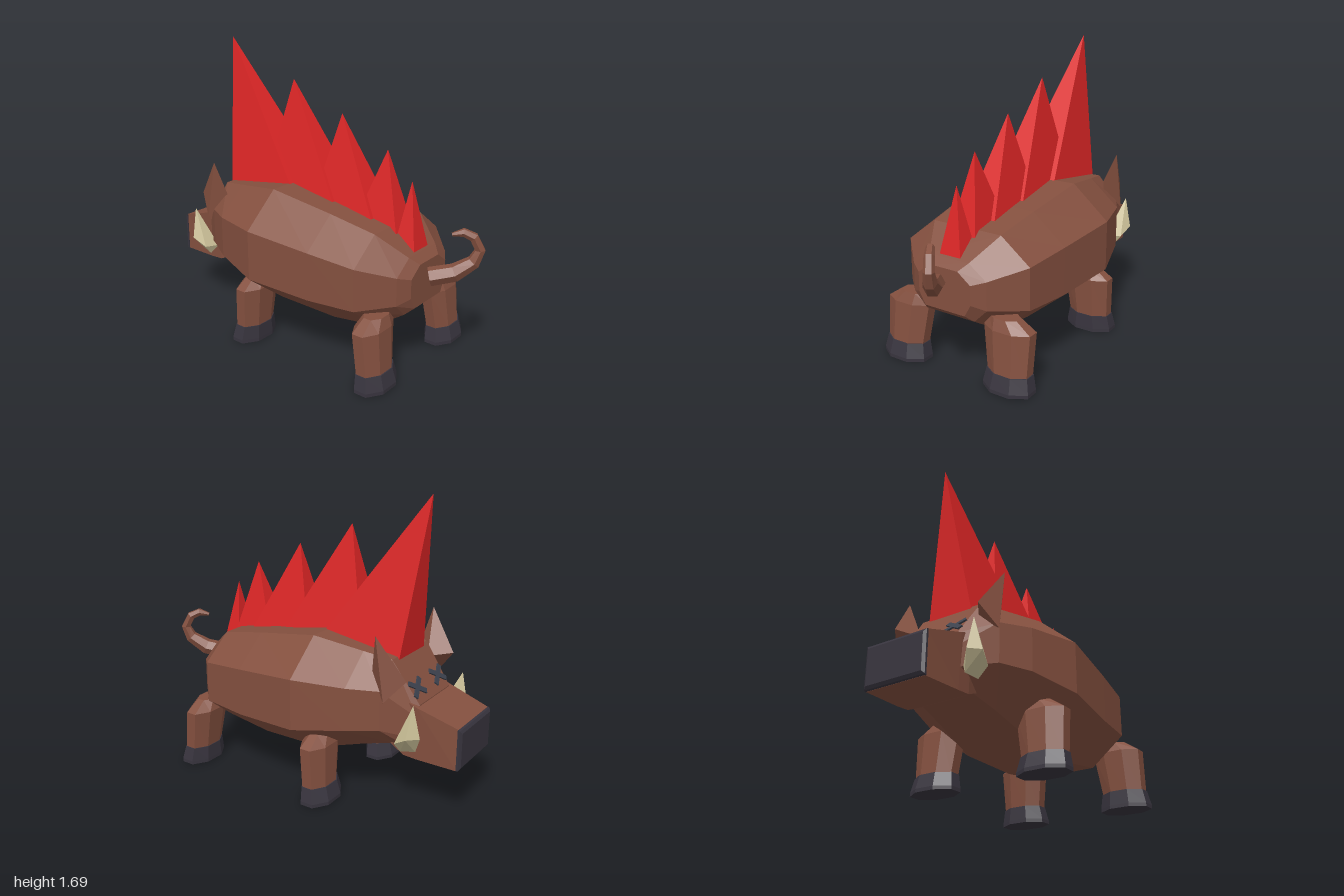
import * as THREE from 'three';
import { ConvexGeometry } from 'three/addons/geometries/ConvexGeometry.js';

const V = (x, y, z) => new THREE.Vector3(x, y, z);
const colour = (name, color) => {
  const m = new THREE.MeshStandardMaterial({ color });
  m.name = name;
  return m;
};

// Faceted closed skin through rings with equal point counts
function loft(rings) {
  const tris = [], n = rings[0].length;
  for (let r = 0; r < rings.length - 1; r++) {
    for (let i = 0; i < n; i++) {
      const j = (i + 1) % n;
      const [a, b, c, d] = [rings[r][i], rings[r][j], rings[r + 1][j], rings[r + 1][i]];
      tris.push([a, b, c], [a, c, d]);
    }
  }
  const last = rings[rings.length - 1];
  for (let i = 1; i < n - 1; i++) {
    tris.push([rings[0][0], rings[0][i + 1], rings[0][i]], [last[0], last[i], last[i + 1]]);
  }
  // Turn the skin outward when the rings run the other way
  let volume = 0;
  for (const [a, b, c] of tris) volume += a.dot(b.clone().cross(c));
  const points = tris.flatMap(([a, b, c]) => (volume < 0 ? [a, c, b] : [a, b, c]));
  const g = new THREE.BufferGeometry().setFromPoints(points);
  g.computeVertexNormals();
  return g;
}

// Octagonal section: half widths at top, side and bottom, then four heights
const bodyRing = ([z, a, w, b, top, yu, yl, bot]) => [
  V(a, top, z), V(w, yu, z), V(w, yl, z), V(b, bot, z),
  V(-b, bot, z), V(-w, yl, z), V(-w, yu, z), V(-a, top, z),
];

// Horizontal octagon for legs and hooves
const legRing = ([y, x, z, rx, rz]) => Array.from({ length: 8 }, (_, i) => {
  const t = (i + 0.5) * Math.PI / 4;
  return V(x + 1.08 * rx * Math.cos(t), y, z + 1.08 * rz * Math.sin(t));
});

const boxRing = (z, wTop, wBot, top, bot) =>
  [V(wTop, top, z), V(wBot, bot, z), V(-wBot, bot, z), V(-wTop, top, z)];

export function createModel() {
  const hide = colour('brown hide', 0x84503f);
  const red = colour('red spines', 0xdb2525);
  const dark = colour('dark hoof', 0x38343e);
  const ivory = colour('ivory tusk', 0xcdc299);
  const slate = colour('slate eye', 0x3d424e);

  const model = new THREE.Group();
  model.name = 'spinedBoar';
  const add = (name, geometry, material, parent = model) => {
    const m = new THREE.Mesh(geometry, material);
    m.name = name;
    parent.add(m);
    return m;
  };

  // Barrel body, tapering into the face
  add('body', loft([
    [0.735, 0.09, 0.17, 0.13, 0.63, 0.57, 0.46, 0.39],
    [0.69, 0.13, 0.24, 0.16, 0.67, 0.59, 0.43, 0.35],
    [0.53, 0.22, 0.40, 0.20, 0.79, 0.65, 0.41, 0.25],
    [0.25, 0.24, 0.44, 0.20, 0.845, 0.68, 0.405, 0.21],
    [-0.14, 0.265, 0.485, 0.21, 0.91, 0.72, 0.43, 0.22],
    [-0.43, 0.22, 0.40, 0.18, 0.865, 0.71, 0.47, 0.31],
    [-0.59, 0.19, 0.31, 0.16, 0.84, 0.70, 0.48, 0.35],
    [-0.75, 0.17, 0.19, 0.15, 0.615, 0.55, 0.43, 0.33],
  ].map(bodyRing)), hide);

  // Snout with a dark bevelled end
  add('snout', loft([
    boxRing(-0.58, 0.19, 0.17, 0.66, 0.355),
    boxRing(-0.67, 0.20, 0.19, 0.64, 0.315),
    boxRing(-0.75, 0.20, 0.19, 0.61, 0.31),
    boxRing(-0.98, 0.18, 0.18, 0.54, 0.305),
  ]), hide);
  add('noseTip', loft([
    boxRing(-0.978, 0.185, 0.185, 0.54, 0.305),
    boxRing(-0.99, 0.185, 0.185, 0.535, 0.31),
    boxRing(-1.0, 0.17, 0.17, 0.52, 0.325),
  ]), dark);

  // Spines: tip z, tip y, base front z and y, base back z and y, half width
  [
    [-0.69, 1.69, -0.60, 0.82, -0.13, 0.905, 0.138],
    [-0.21, 1.49, -0.35, 0.86, 0.17, 0.85, 0.117],
    [0.14, 1.34, 0.02, 0.85, 0.425, 0.80, 0.103],
    [0.45, 1.19, 0.31, 0.80, 0.575, 0.745, 0.085],
    [0.61, 1.045, 0.565, 0.73, 0.68, 0.675, 0.068],
  ].forEach(([tz, ty, fz, fy, bz, by, w], i) => add(`spine${i + 1}`, new ConvexGeometry([
    V(0, ty, tz), V(w, fy, fz), V(-w, fy, fz), V(w, by, bz), V(-w, by, bz),
  ]), red));

  for (const s of [1, -1]) {
    const side = s > 0 ? 'left' : 'right';

    // Ears and tusks
    add(`${side}Ear`, new ConvexGeometry([
      V(s * 0.32, 1.0, -0.56), V(s * 0.26, 0.78, -0.51), V(s * 0.33, 0.65, -0.62),
      V(s * 0.27, 0.77, -0.72), V(s * 0.19, 0.75, -0.60),
    ]), hide);
    add(`${side}Tusk`, new ConvexGeometry([
      V(s * 0.29, 0.66, -0.775), V(s * 0.20, 0.44, -0.73), V(s * 0.28, 0.48, -0.815),
      V(s * 0.335, 0.48, -0.76), V(s * 0.31, 0.43, -0.68), V(s * 0.22, 0.42, -0.66),
      V(s * 0.26, 0.37, -0.69), V(s * 0.24, 0.38, -0.77),
    ]), ivory);

    // Crossed eyes lying on the sloping forehead
    const eye = new THREE.Group();
    eye.name = `${side}Eye`;
    eye.position.set(s * 0.115, 0.687, -0.704);
    eye.rotation.x = -Math.atan2(0.225, 0.16);
    for (const t of [0.62, -0.62]) {
      const bar = add('eyeBar', new THREE.BoxGeometry(0.14, 0.009, 0.028), slate, eye);
      bar.rotation.y = t;
    }
    model.add(eye);

    // Legs with flared hooves
    for (const [end, z, lean] of [['Front', -0.235, 0.01], ['Rear', 0.635, -0.025]]) {
      add(`${side}${end}Leg`, loft([
        [0.09, s * 0.345, z, 0.122, 0.075],
        [0.33, s * 0.33, z + lean, 0.143, 0.078],
        [0.39, s * 0.30, z + lean, 0.085, 0.055],
      ].map(legRing)), hide);
      add(`${side}${end}Hoof`, loft([
        [0, s * 0.345, z + 0.01 * Math.sign(z), 0.143, 0.092],
        [0.02, s * 0.345, z + 0.01 * Math.sign(z), 0.143, 0.092],
        [0.10, s * 0.345, z, 0.127, 0.08],
      ].map(legRing)), dark);
    }
  }

  // Curled tail: z, y and radius along a slanted plane
  const tail = [
    [0.76, 0.55, 0.052], [0.87, 0.58, 0.05], [0.95, 0.645, 0.038], [0.975, 0.715, 0.03],
    [0.945, 0.785, 0.028], [0.90, 0.81, 0.024], [0.85, 0.795, 0.01],
  ];
  const path = tail.map(([z, y]) => V((z - 0.76) * 0.66 - 0.035, y, z));
  const across = V(1, 0, -0.66).normalize();
  add('tail', loft(path.map((p, i) => {
    const along = path[Math.min(i + 1, path.length - 1)].clone()
      .sub(path[Math.max(i - 1, 0)]).normalize();
    const up = along.cross(across).normalize();
    return Array.from({ length: 6 }, (_, k) => {
      const t = k * Math.PI / 3;
      return p.clone().addScaledVector(across, tail[i][2] * Math.cos(t))
        .addScaledVector(up, tail[i][2] * Math.sin(t));
    });
  })), hide);

  return model;
}
